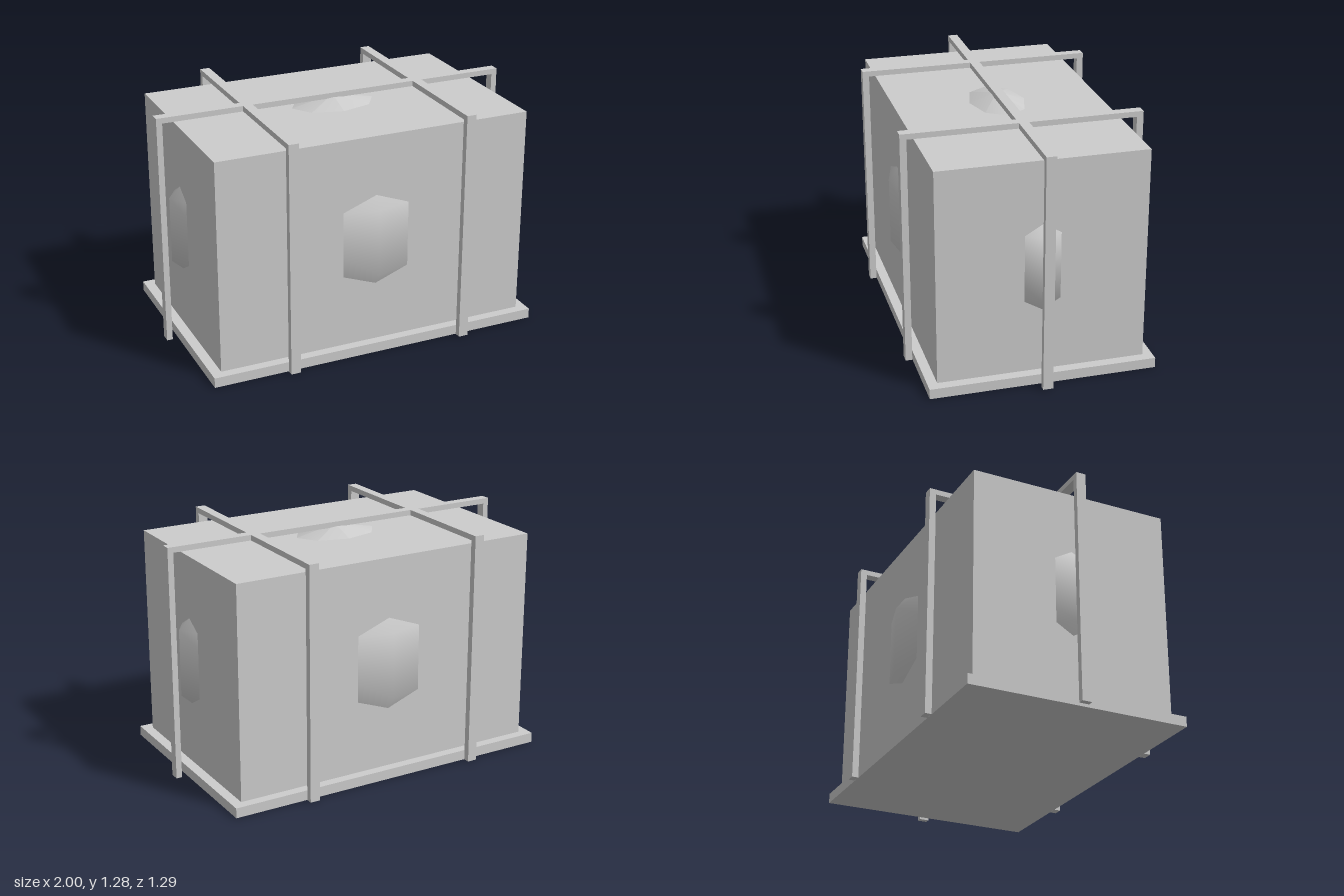
import * as THREE from 'three';

export function createModel() {
  const model = new THREE.Group();
  const grey = new THREE.MeshStandardMaterial({ color: 0xcccccc });
  grey.name = 'light grey';

  function add(parent, name, geometry) {
    const mesh = new THREE.Mesh(geometry, grey);
    mesh.name = name;
    parent.add(mesh);
    return mesh;
  }
  // Box given by its minimum and maximum corners
  function box(parent, name, x0, x1, y0, y1, z0, z1) {
    add(parent, name, new THREE.BoxGeometry(x1 - x0, y1 - y0, z1 - z0))
      .position.set((x0 + x1) / 2, (y0 + y1) / 2, (z0 + z1) / 2);
  }

  // Base plate and crate body
  box(model, 'basePlate', -0.935, 0.935, 0, 0.055, -0.607, 0.607);
  box(model, 'crateBody', -0.88, 0.88, 0.055, 1.22, -0.555, 0.555);

  // Faceted ellipsoid inside the crate, bulging through its faces
  const profile = [
    [0, 0.01], [0.588, 0.13], [0.951, 0.457], [0.951, 0.823], [0.588, 1.15], [0, 1.268],
  ].map(([r, y]) => new THREE.Vector2(r, y));
  add(model, 'innerBulge', new THREE.LatheGeometry(profile, 8).scale(0.99, 1, 0.636));

  // Strap frame: two posts joined by a rail across the top
  function strap(name, half, thickness) {
    const frame = new THREE.Group();
    frame.name = name;
    const w = 0.027, top = 1.285, rail = 1.255;
    box(frame, 'strapRail', -half, half, rail, top, -w, w);
    for (const s of [-1, 1]) {
      const a = s * half, b = s * (half - thickness);
      box(frame, 'strapPost', Math.min(a, b), Math.max(a, b), 0, rail, -w, w);
    }
    model.add(frame);
    return frame;
  }
  strap('longStrap', 1, 0.032);
  for (const s of [-1, 1]) {
    const frame = strap(s > 0 ? 'leftCrossStrap' : 'rightCrossStrap', 0.644, 0.036);
    frame.rotation.y = Math.PI / 2;
    frame.position.x = s * 0.497;
  }
  return model;
}
